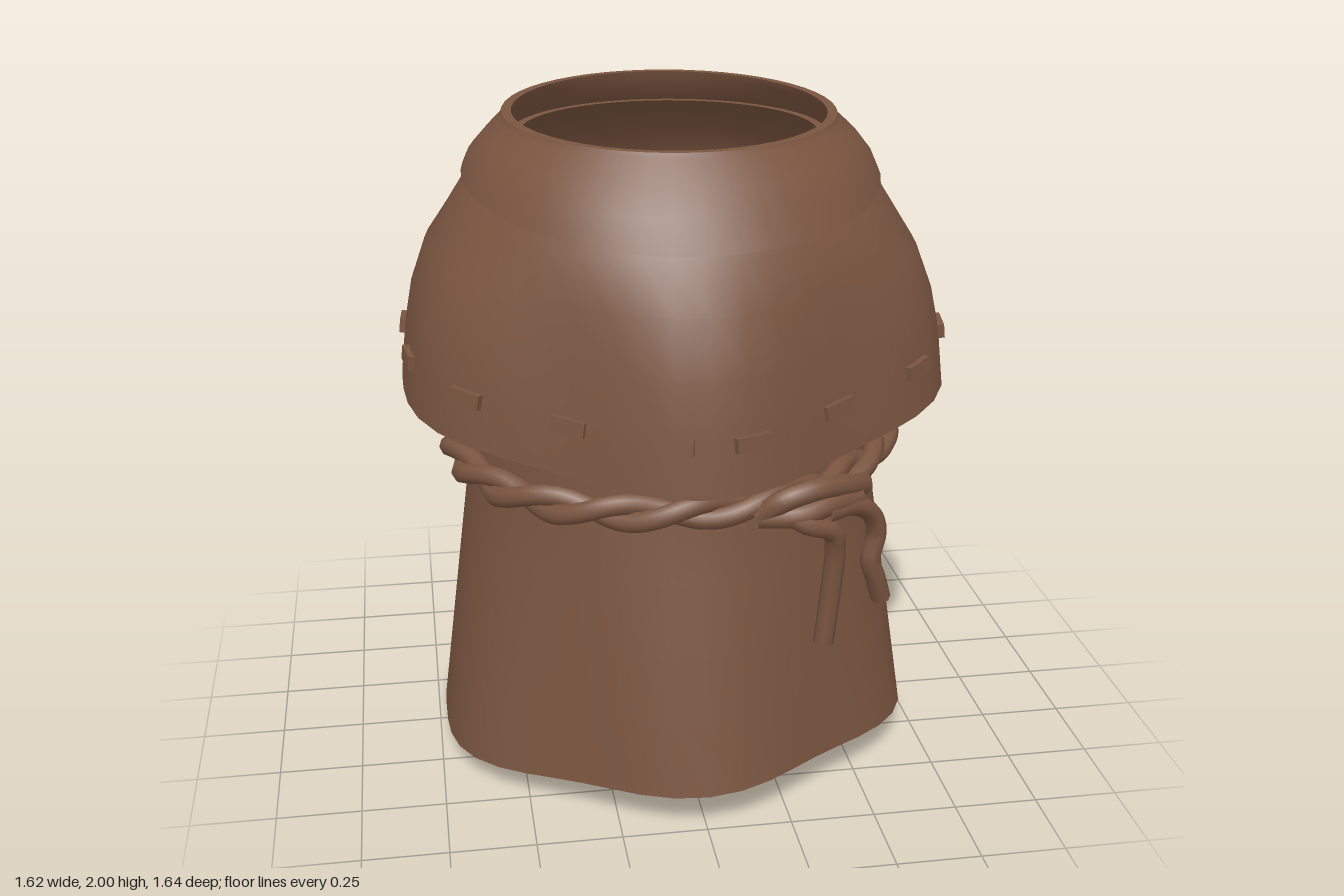
import * as THREE from 'three';
import { mergeGeometries } from 'three/addons/utils/BufferGeometryUtils.js';

const { sin, cos, PI } = Math;
const SEG = 48;
const V = (x, y, z) => new THREE.Vector3(x, y, z);
const polar = (a, r, y) => V(r * cos(a), y, r * sin(a)); // angle runs from +x towards +z

// Softly hexagonal hem radius
const hex = (a) => 0.8 + 0.0217 * cos(2 * a) + 0.015 * cos(4 * a) - 0.0267 * cos(6 * a);
const mix = THREE.MathUtils.lerp;

// Smooth band joining closed rings, each ring an (angle) => [radius, height] rule
function band(rings) {
  const pos = [], index = [];
  rings.forEach((ring, i) => {
    for (let j = 0; j < SEG; j++) {
      const a = (j / SEG) * 2 * PI;
      pos.push(...polar(a, ...ring(a)).toArray());
      if (i === rings.length - 1) continue;
      const p = i * SEG + j, q = i * SEG + ((j + 1) % SEG);
      index.push(p, p + SEG, q + SEG, p, q + SEG, q);
    }
  });
  const g = new THREE.BufferGeometry();
  g.setAttribute('position', new THREE.Float32BufferAttribute(pos, 3));
  g.setIndex(index);
  g.computeVertexNormals();
  return g;
}

// Cloth with thickness: outer wall, inner wall and two crisp rims
function cloth(outer, thickness) {
  const inner = outer.map((f) => (a) => {
    const [r, y] = f(a);
    return [r - thickness, y];
  }).reverse();
  const last = outer.length - 1;
  return mergeGeometries([
    band(outer), band([outer[last], inner[0]]), band(inner), band([inner[last], outer[0]]),
  ]);
}

// Cord along a path, with flat ends when open
function cord(points, radius, closed = false) {
  const curve = new THREE.CatmullRomCurve3(points, closed);
  const parts = [new THREE.TubeGeometry(curve, closed ? 320 : 28, radius, 8, closed)];
  if (!closed) {
    for (const t of [0, 1]) {
      const dir = curve.getTangent(t).multiplyScalar(t ? 1 : -1);
      const cap = new THREE.CircleGeometry(radius, 8);
      cap.applyQuaternion(new THREE.Quaternion().setFromUnitVectors(V(0, 0, 1), dir));
      const p = curve.getPoint(t);
      parts.push(cap.translate(p.x, p.y, p.z));
    }
  }
  return mergeGeometries(parts);
}

export function createModel() {
  const model = new THREE.Group();
  const leather = new THREE.MeshStandardMaterial({ color: 0x7a5540 });
  leather.name = 'brown leather';
  const add = (name, geometry, parent = model) => {
    const mesh = new THREE.Mesh(geometry, leather);
    mesh.name = name;
    parent.add(mesh);
    return mesh;
  };

  // Flared skirt with a tilted hem
  const skirtHem = (a) => [0.9 * hex(a) + 0.035 * sin(a) ** 2, 0.064 + 0.06 * sin(a) + 0.022 * cos(a)];
  const skirtRing = (t) => (a) => {
    const [r, y] = skirtHem(a);
    return [mix(r, 0.615, t), mix(y, 0.95, t)];
  };
  add('skirt', cloth([...[0, 0.25, 0.5, 0.75, 1].map(skirtRing), () => [0.605, 1.15], () => [0.585, 1.35]], 0.018));

  // Cape, lower at front and back than at the sides
  const c2 = (a) => cos(a) ** 2;
  const capeRings = [
    (a) => [hex(a), 1.08 + 0.115 * c2(a) + 0.008 * cos(a)],
    (a) => [0.98 * hex(a), 1.24 + 0.1 * c2(a) + 0.008 * cos(a)],
    (a) => [0.95 * hex(a), 1.4 + 0.06 * c2(a)],
    (a) => [mix(0.72, 0.9 * hex(a), 0.6), 1.56 + 0.03 * c2(a)],
    () => [0.658, 1.7],
    () => [0.594, 1.8],
    () => [0.525, 1.87],
    () => [0.46, 1.91],
  ];
  add('cape', cloth(capeRings, 0.025));

  // Collar, dipping at the front
  const collarRings = [
    [0.61, 0.04, 0.015, 1.81, -0.06, -0.04],
    [0.59, 0.03, 0, 1.855, -0.037, -0.017],
    [0.545, 0.03, 0, 1.91, -0.022, -0.02],
    [0.495, 0.012, 0, 1.955, -0.02, 0],
    [0.487, 0.013, 0, 1.975, -0.025, 0],
  ].map(([r, r1, r2, y, y1, y2]) => (a) => {
    const s = sin(a);
    return [r + r1 * s + r2 * s * s, y + y1 * s + y2 * s * s];
  });
  add('collar', cloth(collarRings, 0.028));

  // Stitches lying on the cape above its hem
  const stitches = new THREE.Group();
  stitches.name = 'stitches';
  model.add(stitches);
  const onCape = (a, t) => {
    const [r0, y0] = capeRings[0](a), [r1, y1] = capeRings[1](a);
    return polar(a, mix(r0, r1, t), mix(y0, y1, t));
  };
  const stitchAngles = [14, 36.5, 60, 82.5, 97.5, 120, 143, 165.5, 189, 213, 235, 257.5, 281, 304, 327, 350.5];
  for (const deg of stitchAngles) {
    const a = (deg * PI) / 180, t = 0.92;
    const along = onCape(a - 0.04, t).sub(onCape(a + 0.04, t)).normalize();
    const out = along.clone().cross(onCape(a, 1).sub(onCape(a, 0))).normalize();
    const up = out.clone().cross(along);
    const stitch = add('stitch', new THREE.BoxGeometry(0.1, 0.042, 0.03), stitches);
    stitch.applyMatrix4(new THREE.Matrix4().makeBasis(along, up, out).setPosition(onCape(a, t)));
  }

  // Twisted rope belt of two strands
  const belt = new THREE.Group();
  belt.name = 'ropeBelt';
  model.add(belt);
  for (const phase of [0, PI]) {
    const path = [];
    for (let i = 0; i < 160; i++) {
      const a = (i / 160) * 2 * PI, twist = phase - 9 * a;
      path.push(polar(a, 0.655 + 0.025 * cos(twist), 0.978 + 0.025 * cos(a) + 0.025 * sin(twist)));
    }
    add('ropeStrand', cord(path, 0.031, true), belt);
  }

  // Knot and hanging rope ends
  const knot = [
    ['knotLoop', 0.033, [[0.15, 0.96, 0.67], [0.22, 1.015, 0.7], [0.32, 1.035, 0.68], [0.42, 1.01, 0.61], [0.48, 0.98, 0.54]]],
    ['knotWrap', 0.034, [[0.15, 0.955, 0.67], [0.26, 0.965, 0.7], [0.36, 0.98, 0.66], [0.45, 0.96, 0.59]]],
    ['ropeEnd', 0.03, [[0.2, 0.985, 0.68], [0.28, 0.94, 0.71], [0.36, 0.9, 0.68], [0.375, 0.84, 0.66], [0.37, 0.7, 0.645], [0.355, 0.53, 0.64]]],
    ['ropeEnd', 0.03, [[0.34, 0.96, 0.68], [0.43, 0.95, 0.62], [0.5, 0.9, 0.57], [0.525, 0.83, 0.55], [0.51, 0.74, 0.55], [0.53, 0.68, 0.54], [0.555, 0.6, 0.52]]],
  ];
  for (const [name, radius, path] of knot) add(name, cord(path.map((p) => V(...p)), radius), belt);

  return model;
}
